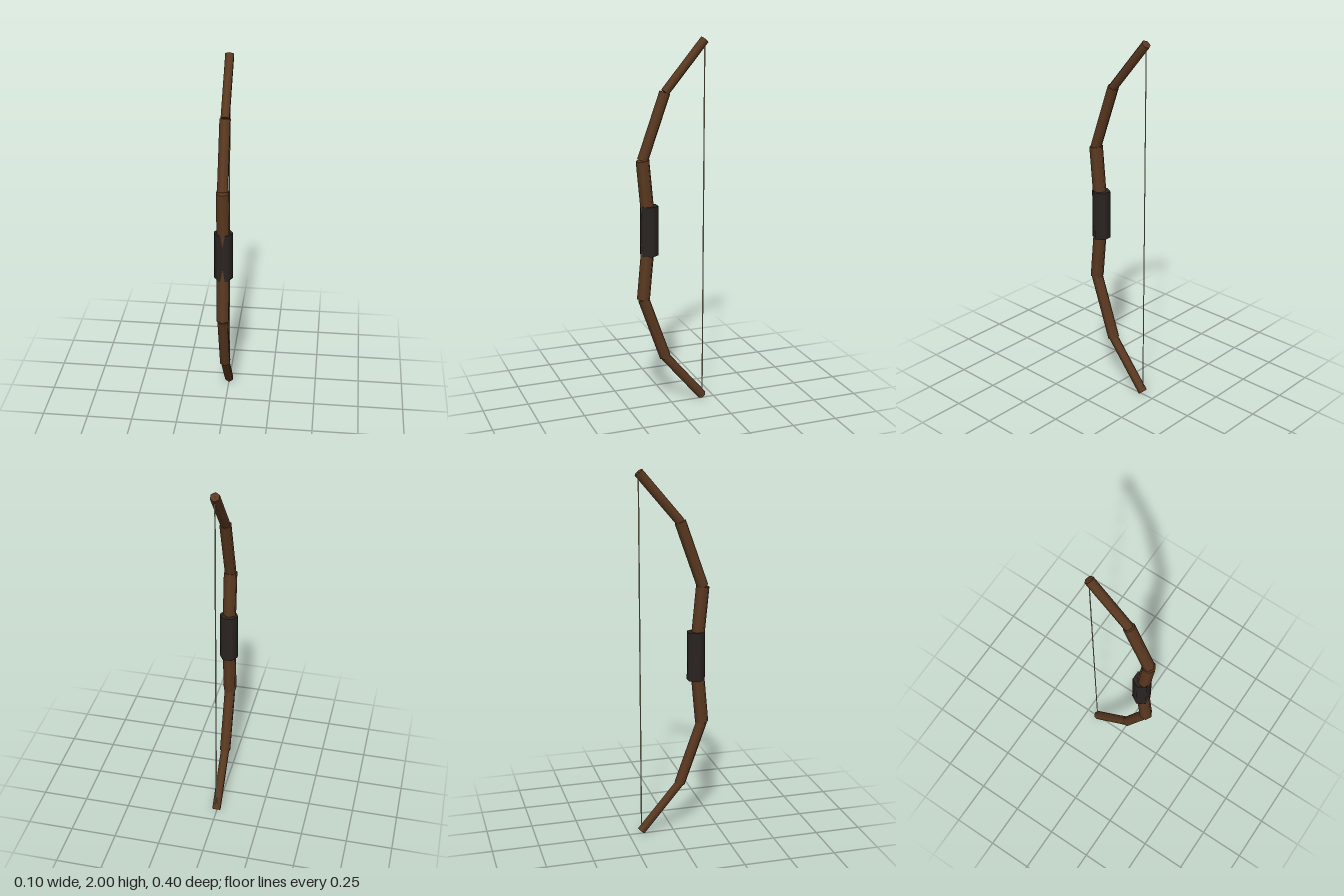
import * as THREE from 'three';

const wood = new THREE.MeshStandardMaterial({ color: 0x5c3a21 });
const leather = new THREE.MeshStandardMaterial({ color: 0x2b2522 });
const cord = new THREE.MeshStandardMaterial({ color: 0xc8c0a0 });

const MID_Y = 1;

// Straight rod between two [z, height above the middle] points in the x = 0 plane
function rod(name, a, b, radius, sides, material) {
  const dz = b[0] - a[0], dy = b[1] - a[1];
  const geometry = new THREE.CylinderGeometry(radius, radius, Math.hypot(dz, dy), sides);
  const mesh = new THREE.Mesh(geometry, material);
  mesh.name = name;
  mesh.position.set(0, MID_Y + (a[1] + b[1]) / 2, (a[0] + b[0]) / 2);
  mesh.rotation.x = Math.atan2(dz, dy);
  return mesh;
}

export function createModel() {
  const bow = new THREE.Group();
  bow.name = 'bow';

  // Limb joints from the grip to the tip, and the radius of each section
  const joints = [[0.125, 0], [0.16, 0.377], [0.037, 0.724], [-0.181, 0.984]];
  const radii = [0.037, 0.031, 0.025];
  const names = ['InnerLimb', 'MiddleLimb', 'LimbTip'];

  // Upper and lower limbs mirror each other
  for (const [side, s] of [['upper', 1], ['lower', -1]]) {
    radii.forEach((radius, i) => {
      const [a, b] = [joints[i], joints[i + 1]].map(([z, y]) => [z, y * s]);
      bow.add(rod(side + names[i], a, b, radius, 6, wood));
    });
  }

  // Grip wrap, turned so its corners point sideways
  const grip = rod('grip', [0.125, -0.134], [0.125, 0.134], 0.0495, 6, leather);
  grip.geometry.rotateY(Math.PI / 6);
  bow.add(grip);

  // Bowstring from tip to tip
  bow.add(rod('bowstring', [-0.181, -0.984], [-0.181, 0.984], 0.0035, 4, cord));

  return bow;
}
